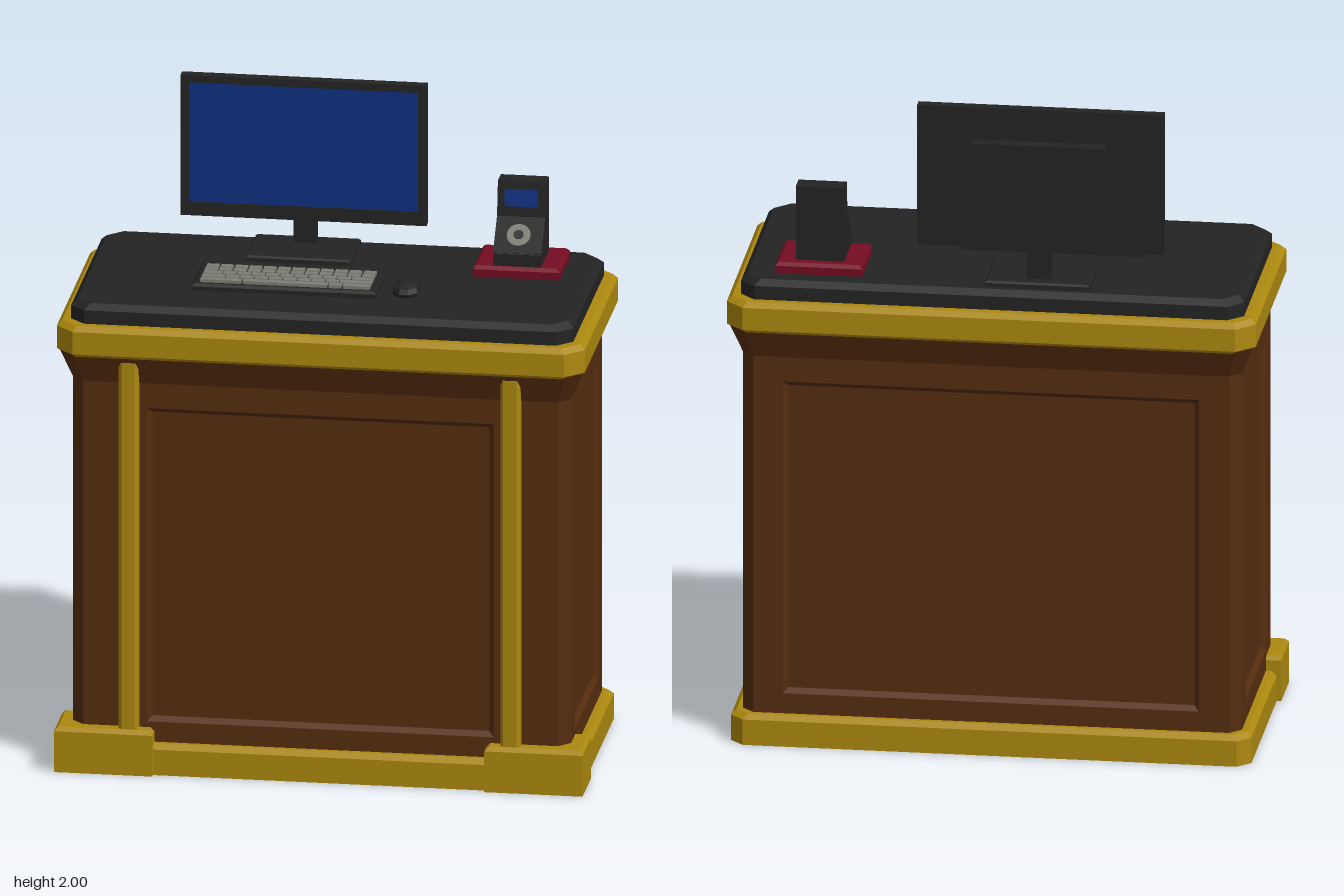
import * as THREE from 'three';

const mat = (name, color) => {
  const m = new THREE.MeshStandardMaterial({ color });
  m.name = name;
  return m;
};

// Stack of chamfered rectangles, each [halfX, halfZ, chamfer, y], with flat faces.
function loft(rings, { bottom = true, top = true, chamfersOnly = false } = {}) {
  const pos = [];
  const loops = rings.map(([x, z, c, y]) => [
    [x, c - z], [x, z - c], [x - c, z], [c - x, z],
    [-x, z - c], [-x, c - z], [c - x, -z], [x - c, -z],
  ].map(([px, pz]) => [px, y, pz]));
  const tri = (...pts) => pts.forEach((p) => pos.push(...p));
  for (let r = 0; r < loops.length - 1; r++) {
    for (let i = chamfersOnly ? 1 : 0; i < 8; i += chamfersOnly ? 2 : 1) {
      const j = (i + 1) % 8, lo = loops[r], hi = loops[r + 1];
      tri(lo[i], hi[i], lo[j]);
      tri(lo[j], hi[i], hi[j]);
    }
  }
  const first = loops[0], last = loops[loops.length - 1];
  for (let i = 0; i < 8; i++) {
    const j = (i + 1) % 8;
    if (bottom) tri([0, first[0][1], 0], first[i], first[j]);
    if (top) tri([0, last[0][1], 0], last[j], last[i]);
  }
  const g = new THREE.BufferGeometry();
  g.setAttribute('position', new THREE.Float32BufferAttribute(pos, 3));
  g.computeVertexNormals();
  return g;
}

// Block with a small bevel around its top.
const block = (hx, hz, c, y0, y1, b) =>
  loft([[hx, hz, c, y0], [hx, hz, c, y1 - b], [hx - b, hz - b, c, y1]]);

export function createModel() {
  const model = new THREE.Group();
  model.name = 'reception desk';
  const gold = mat('gold trim', 0xac880f);
  const wood = mat('brown wood', 0x552c0f);
  const dark = mat('charcoal', 0x232323);
  const black = mat('black', 0x151515);
  const blue = mat('screen blue', 0x0e2f80);
  const red = mat('dark red', 0x750c22);
  const grey = mat('key grey', 0x7c7c74);

  const add = (name, geo, material, x = 0, y = 0, z = 0, parent = model) => {
    const m = new THREE.Mesh(geo, material);
    m.name = name;
    m.position.set(x, y, z);
    parent.add(m);
    return m;
  };
  // Box given by its limits
  const box = (name, material, x0, x1, y0, y1, z0, z1, parent) =>
    add(name, new THREE.BoxGeometry(x1 - x0, y1 - y0, z1 - z0), material,
      (x0 + x1) / 2, (y0 + y1) / 2, (z0 + z1) / 2, parent);

  // Cabinet: chamfered corners, four walls with recessed panels, flared top
  const HX = 0.75, HZ = 0.352, C = 0.035;
  add('cabinetCorners', loft([[HX, HZ, C, 0.08], [HX, HZ, C, 1.22]],
    { bottom: false, top: false, chamfersOnly: true }), wood);
  const wall = (name, half, panelHalf, distance, turn) => {
    const g = loft([[half, 0.57, 0, 0], [panelHalf, 0.492, 0, 0],
      [panelHalf - 0.015, 0.477, 0, -0.015]], { bottom: false });
    g.rotateX(Math.PI / 2).translate(0, 0.65, distance).rotateY(turn);
    add(name, g, wood);
  };
  wall('frontPanel', HX - C, 0.522, HZ, 0);
  wall('backPanel', HX - C, 0.625, HZ, Math.PI);
  wall('leftPanel', HZ - C, 0.235, HX, Math.PI / 2);
  wall('rightPanel', HZ - C, 0.235, HX, -Math.PI / 2);
  add('flaredCornice', loft([[HX, HZ, C, 1.22], [0.785, 0.388, 0.045, 1.31]],
    { bottom: false }), wood);

  // Gold plinth, corner blocks, columns and top band
  add('plinth', block(0.782, 0.382, 0.04, 0, 0.095, 0.015), gold);
  for (const side of [-1, 1]) {
    add('plinthBlock', block(0.148, 0.089, 0, 0, 0.14, 0.012), gold, side * 0.648, 0, 0.308);
    add('column', loft([[0.03, 0.02, 0.01, 0.13], [0.03, 0.02, 0.01, 1.29]]),
      gold, side * 0.575, 0, 0.362);
  }
  add('topBand', loft([[0.785, 0.388, 0.055, 1.305], [0.795, 0.397, 0.055, 1.315],
    [0.795, 0.397, 0.055, 1.385], [0.78, 0.382, 0.05, 1.4]]), gold);
  add('countertop', block(0.756, 0.358, 0.045, 1.395, 1.46, 0.018), dark);

  // Monitor
  const monitor = new THREE.Group();
  monitor.name = 'monitor';
  model.add(monitor);
  box('monitorCase', dark, -0.505, 0.235, 1.56, 2, -0.254, -0.226, monitor);
  box('monitorScreen', blue, -0.48, 0.21, 1.603, 1.977, -0.228, -0.224, monitor);
  // Raised bezel around the screen
  for (const [x0, x1, y0, y1] of [[-0.505, 0.235, 1.56, 1.603], [-0.505, 0.235, 1.977, 2],
    [-0.505, -0.48, 1.603, 1.977], [0.21, 0.235, 1.603, 1.977]]) {
    box('bezel', dark, x0, x1, y0, y1, -0.23, -0.221, monitor);
  }
  box('monitorBack', dark, -0.335, 0.065, 1.635, 1.9, -0.295, -0.25, monitor);
  box('monitorNeck', dark, -0.17, -0.1, 1.465, 1.66, -0.285, -0.255, monitor);
  add('monitorFoot', block(0.158, 0.106, 0, 0, 0.02, 0.006), dark, -0.135, 1.458, -0.218, monitor);

  // Keyboard: rows of relative key widths
  const keyboard = new THREE.Group();
  keyboard.name = 'keyboard';
  model.add(keyboard);
  add('keyboardCase', block(0.278, 0.09, 0, 0, 0.022, 0.008), dark, -0.135, 1.459, 0.09, keyboard);
  const rows = [
    [1, 1, 1, 1, 1, 1, 1, 1, 1, 1, 1, 1],
    [1, 1, 1, 1, 1, 1, 1, 1, 1, 1, 1, 1],
    [1.4, 1, 1, 1, 1, 1, 1, 1, 1, 1, 1.6],
    [1.7, 1, 1, 1, 1, 1, 1, 1, 1, 2.3],
    [3, 6, 1, 2],
  ];
  rows.forEach((widths, r) => {
    const unit = 0.516 / widths.reduce((a, b) => a + b);
    let x = -0.393;
    for (const w of widths) {
      const z = 0.009 + r * 0.0315;
      box('key', grey, x + 0.003, x + w * unit - 0.003, 1.478, 1.49, z, z + 0.0265, keyboard);
      x += w * unit;
    }
  });

  // Mouse
  add('mouse', loft([[0.034, 0.06, 0.022, 0], [0.038, 0.065, 0.024, 0.012],
    [0.034, 0.056, 0.022, 0.026], [0.018, 0.034, 0.012, 0.036]]), dark, 0.223, 1.459, 0.1);

  // Card terminal on a red stand
  const terminal = new THREE.Group();
  terminal.name = 'cardTerminal';
  model.add(terminal);
  add('terminalStand', block(0.131, 0.107, 0, 0, 0.035, 0.01), red, 0.527, 1.458, -0.178, terminal);
  const profile = new THREE.Shape([[0.085, 1.485], [0.25, 1.485], [0.25, 1.725],
    [0.19, 1.725], [0.172, 1.62], [0.085, 1.53]].map(([x, y]) => new THREE.Vector2(x, y)));
  const body = new THREE.ExtrudeGeometry(profile, { depth: 0.145, bevelEnabled: false });
  add('terminalBody', body.rotateY(Math.PI / 2), dark, 0.455, 0, 0, terminal);
  // Screen, face plate and dial lie on the sloped faces
  const tilted = (name, geo, material, y, z, angle) => {
    add(name, geo, material, 0.527, y, z, terminal).rotation.x = -angle;
  };
  const upper = Math.atan2(0.018, 0.105), lower = Math.atan2(0.087, 0.09);
  tilted('terminalScreen', new THREE.BoxGeometry(0.1, 0.052, 0.006), blue, 1.676, -0.181, upper);
  tilted('facePlate', new THREE.BoxGeometry(0.141, 0.12, 0.004), black, 1.575, -0.1285, lower);
  const disc = (r, h) => new THREE.CylinderGeometry(r, r, h, 16).rotateX(Math.PI / 2);
  tilted('dial', disc(0.036, 0.008), grey, 1.577, -0.127, lower);
  tilted('dialButton', disc(0.015, 0.009), dark, 1.5785, -0.1255, lower);

  return model;
}
